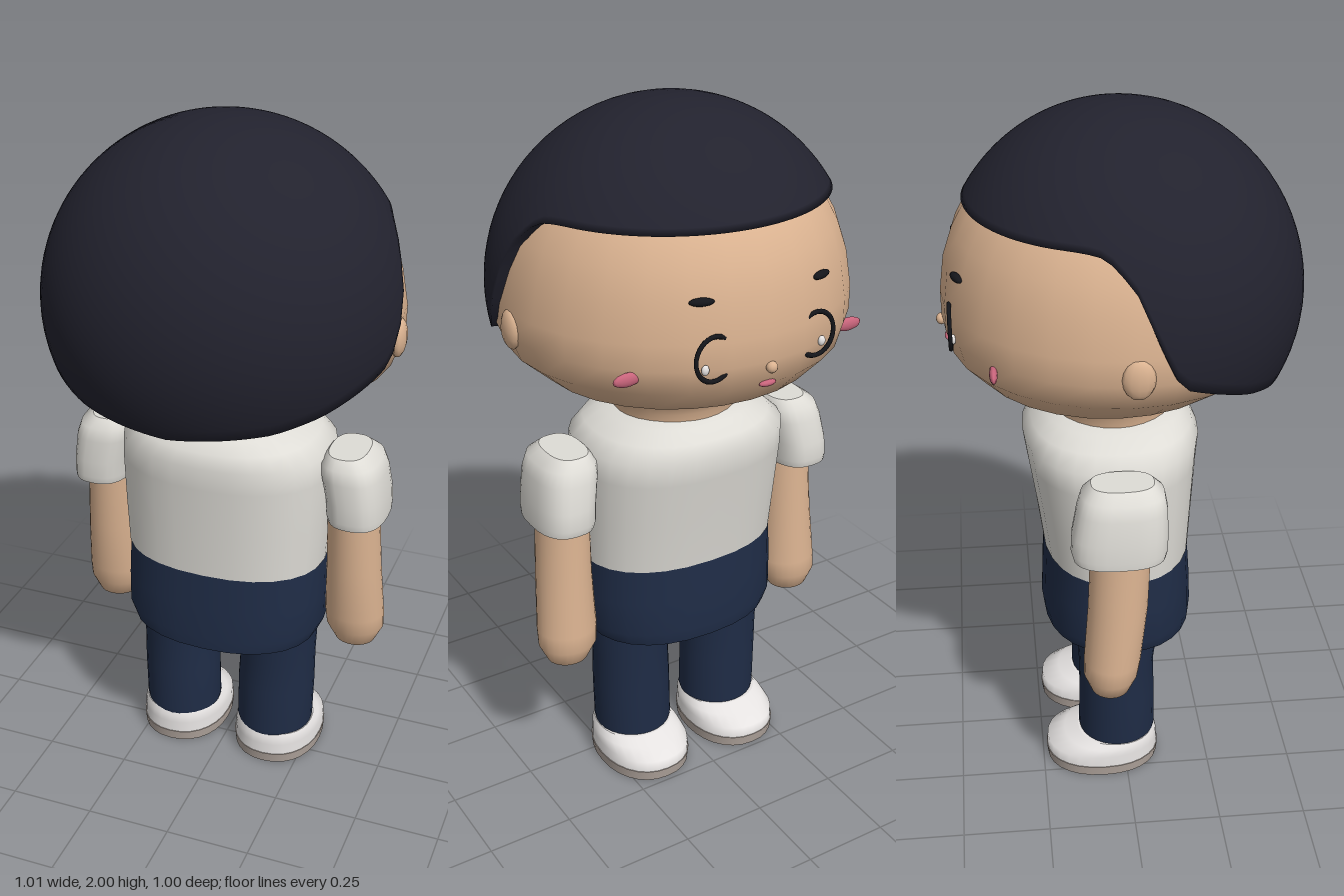
import * as THREE from 'three';

const paint = (name, color, side = THREE.FrontSide) => {
  const m = new THREE.MeshStandardMaterial({ color, side });
  m.name = name;
  return m;
};

// Smooth skin through horizontal rounded sections [y, rx, rz, cx, cz], bottom to top, with flat caps
function loft(sections, { seg = 28, power = 2 } = {}) {
  const pos = [], idx = [];
  const soft = v => Math.sign(v) * Math.abs(v) ** (2 / power);
  const ring = ([y, rx, rz, cx = 0, cz = 0]) => {
    for (let j = 0; j < seg; j++) {
      const a = (j / seg) * Math.PI * 2;
      pos.push(cx + rx * soft(Math.cos(a)), y, cz + rz * soft(Math.sin(a)));
    }
  };
  sections.forEach(ring);
  for (let i = 0; i < sections.length - 1; i++) {
    for (let j = 0; j < seg; j++) {
      const k = (j + 1) % seg, a = i * seg, b = a + seg;
      idx.push(a + j, b + j, a + k, a + k, b + j, b + k);
    }
  }
  [sections[0], sections[sections.length - 1]].forEach((s, top) => {
    const start = pos.length / 3;
    ring(s);
    pos.push(s[3] ?? 0, s[0], s[4] ?? 0);
    for (let j = 0; j < seg; j++) {
      const k = (j + 1) % seg;
      idx.push(start + seg, start + (top ? k : j), start + (top ? j : k));
    }
  });
  return finish(pos, idx);
}

function finish(pos, idx) {
  const g = new THREE.BufferGeometry();
  g.setAttribute('position', new THREE.Float32BufferAttribute(pos, 3));
  g.setIndex(idx);
  g.computeVertexNormals();
  return g;
}

// Hairline: [degrees around from the face, height of the edge]
const HAIRLINE = [[0, 1.76], [70, 1.76], [78, 1.755], [84, 1.73], [90, 1.67], [96, 1.55], [100, 1.46],
  [104, 1.415], [110, 1.395], [129, 1.335], [145, 1.30], [180, 1.272]];

function hairlineY(deg) {
  const i = Math.max(1, HAIRLINE.findIndex(p => p[0] >= deg - 1e-6));
  const [a0, y0] = HAIRLINE[i - 1], [a1, y1] = HAIRLINE[i];
  return THREE.MathUtils.lerp(y0, y1, (deg - a0) / (a1 - a0));
}

// Dome cut along the hairline, with a rim turned in towards the head
function hairGeometry(cols = 96, rows = 26) {
  const pos = [], idx = [];
  for (let i = 0; i <= rows + 1; i++) {
    for (let j = 0; j < cols; j++) {
      const a = (j / cols) * Math.PI * 2;
      const deg = THREE.MathUtils.radToDeg(Math.min(a, Math.PI * 2 - a));
      const end = Math.acos((hairlineY(deg) - 1.5) / 0.5);
      const t = (Math.min(i, rows) / rows) * end;
      const c = Math.cos(a);
      const r = 0.508 * (1 - (c > 0 ? 0.045 : 0.015) * c * c) * (i > rows ? 0.93 : 1);
      pos.push(r * Math.sin(t) * Math.sin(a), 1.5 + 0.5 * Math.cos(t), -r * Math.sin(t) * c);
    }
  }
  for (let i = 0; i <= rows; i++) {
    for (let j = 0; j < cols; j++) {
      const k = (j + 1) % cols, a = i * cols, b = a + cols;
      idx.push(a + j, a + k, b + j, a + k, b + k, b + j);
    }
  }
  return finish(pos, idx);
}

export function createModel() {
  const skin = paint('skin', 0xdbb391);
  const hair = paint('hair', 0x22222e, THREE.DoubleSide);
  const shirt = paint('shirt white', 0xdedcd6);
  const navy = paint('navy cloth', 0x1f2c46);
  const shoeWhite = paint('shoe white', 0xe6e3e2);
  const soleGrey = paint('sole', 0xb0a49c);
  const pink = paint('pink', 0xc9657c);
  const black = paint('line black', 0x15161b);

  const model = new THREE.Group();
  model.name = 'figure';
  const add = (name, geometry, material) => {
    const mesh = new THREE.Mesh(geometry, material);
    mesh.name = name;
    model.add(mesh);
    return mesh;
  };
  const blob = (name, material, [x, y, z], [rx, ry, rz], turn = 0) => {
    const m = add(name, new THREE.SphereGeometry(1, 12, 8), material);
    m.position.set(x, y, z);
    m.scale.set(rx, ry, rz);
    m.rotation.y = turn;
  };

  // Head, neck and hair
  add('head', loft([
    [1.12, 0.18, 0.17, 0, -0.02], [1.17, 0.18, 0.17, 0, -0.02], [1.225, 0.21, 0.19, 0, -0.03],
    [1.25, 0.28, 0.26, 0, -0.03], [1.29, 0.385, 0.365, 0, -0.035], [1.36, 0.465, 0.455, 0, -0.01],
    [1.43, 0.49, 0.483], [1.5, 0.49, 0.483], [1.6, 0.472, 0.47], [1.68, 0.445, 0.443],
    [1.76, 0.4, 0.4], [1.85, 0.31, 0.31], [1.92, 0.19, 0.19],
  ]), skin);
  add('hair', hairGeometry(), hair);

  // Face on the middle line
  blob('nose', skin, [0, 1.415, -0.485], [0.016, 0.016, 0.014]);
  blob('mouth', pink, [0, 1.365, -0.468], [0.026, 0.009, 0.01]);

  // Torso
  add('shirt', loft([
    [0.71, 0.3, 0.213, 0, -0.013], [0.85, 0.307, 0.226, 0, -0.018], [1.0, 0.312, 0.242, 0, -0.025],
    [1.07, 0.308, 0.25, 0, -0.027], [1.11, 0.265, 0.228, 0, -0.024], [1.14, 0.21, 0.195, 0, -0.02],
    [1.15, 0.17, 0.165, 0, -0.02],
  ], { power: 2.3 }), shirt);
  add('hips', loft([
    [0.46, 0.285, 0.218, 0, -0.01], [0.5, 0.303, 0.222, 0, -0.012],
    [0.6, 0.303, 0.218, 0, -0.012], [0.71, 0.298, 0.211, 0, -0.013],
  ], { power: 2.3 }), navy);

  for (const s of [1, -1]) {
    const side = s > 0 ? 'left' : 'right';

    // Ear, cheek, brow and eye
    blob(side + 'Ear', skin, [s * 0.485, 1.45, 0.003], [0.022, 0.055, 0.043]);
    blob(side + 'Cheek', pink, [s * 0.342, 1.41, -0.352], [0.042, 0.019, 0.011]);
    blob(side + 'Brow', black, [s * 0.18, 1.61, -0.435], [0.033, 0.011, 0.012], s * -0.35);
    const eye = add(side + 'EyeLine', new THREE.TorusGeometry(0.06, 0.007, 6, 32), black);
    eye.position.set(s * 0.155, 1.462, -0.458);
    eye.scale.set(0.9, 1.0, 0.9);
    blob(side + 'EyeGlint', shoeWhite, [s * 0.178, 1.435, -0.452], [0.011, 0.014, 0.008]);

    // Sleeve and arm
    add(side + 'Sleeve', loft([
      [0.878, 0.083, 0.125, s * 0.393, -0.037], [0.9, 0.086, 0.131, s * 0.391, -0.037],
      [0.95, 0.086, 0.13, s * 0.388, -0.035], [1.02, 0.088, 0.122, s * 0.376, -0.028],
      [1.06, 0.082, 0.112, s * 0.368, -0.025], [1.085, 0.055, 0.085, s * 0.36, -0.025],
    ], { power: 2.6 }), shirt);
    add(side + 'Arm', loft([
      [0.41, 0.025, 0.025, s * 0.39, -0.062], [0.43, 0.06, 0.055, s * 0.39, -0.062],
      [0.48, 0.086, 0.076, s * 0.388, -0.061], [0.53, 0.088, 0.08, s * 0.386, -0.056],
      [0.7, 0.08, 0.083, s * 0.382, -0.04], [0.92, 0.074, 0.083, s * 0.375, -0.03],
    ]), skin);

    // Trouser leg
    add(side + 'Leg', loft([
      [0.09, 0.112, 0.112, s * 0.153, -0.022], [0.11, 0.117, 0.116, s * 0.153, -0.022],
      [0.25, 0.118, 0.113, s * 0.156, -0.022], [0.36, 0.115, 0.112, s * 0.159, -0.024],
      [0.46, 0.118, 0.12, s * 0.161, -0.02], [0.54, 0.118, 0.122, s * 0.161, -0.02],
    ]), navy);

    // Shoe with a sloping toe
    add(side + 'Sole', loft([
      [0, 0.133, 0.168, s * 0.155, -0.068], [0.032, 0.136, 0.172, s * 0.155, -0.068],
    ], { power: 2.2 }), soleGrey);
    add(side + 'Shoe', loft([
      [0.03, 0.134, 0.17, s * 0.155, -0.068], [0.065, 0.132, 0.168, s * 0.155, -0.068],
      [0.085, 0.126, 0.14, s * 0.155, -0.043], [0.1, 0.115, 0.115, s * 0.155, -0.027],
    ], { power: 2.2 }), shoeWhite);
  }
  return model;
}
